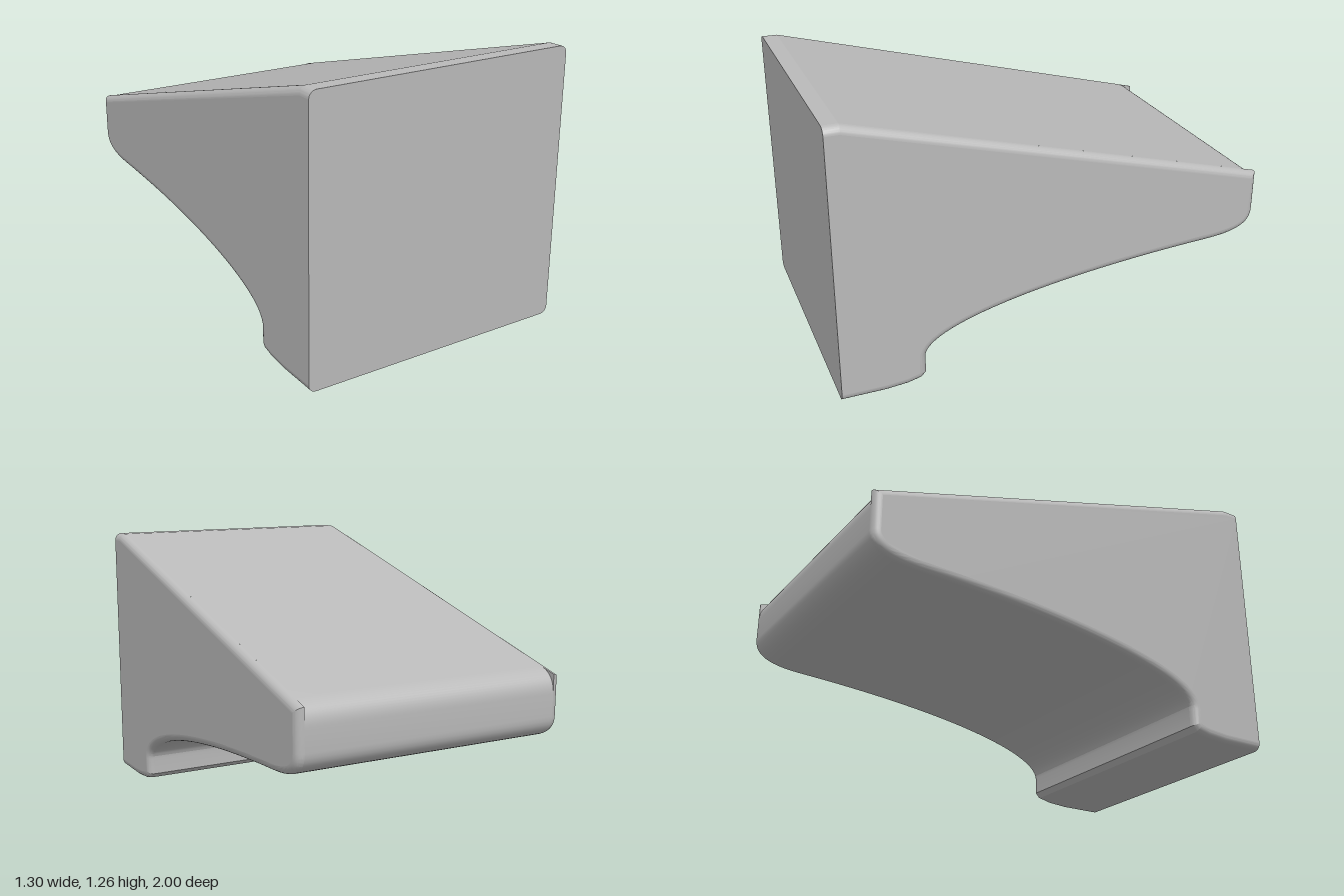
import * as THREE from 'three';
import { toCreasedNormals } from 'three/addons/utils/BufferGeometryUtils.js';

const HALF = 0.648, R = 0.035; // half width and edge rounding
const V = (z, y) => new THREE.Vector2(z, y);

// Side profile in (z, y), from the front foot, under the belly, up the back, over the top
function profile(roundedBack) {
  const belly = new THREE.CubicBezierCurve(V(0.615, 0.13), V(0.615, 0.26), V(0.1, 0.39), V(-0.75, 0.435));
  const heel = new THREE.CubicBezierCurve(V(-0.75, 0.435), V(-0.88, 0.442), V(-1, 0.46), V(-1, 0.56));
  return [
    V(1, 0), V(0.8, 0.001), V(0.7, 0.01), V(0.637, 0.026), V(0.615, 0.05),
    ...belly.getPoints(28),
    ...heel.getPoints(14).slice(1),
    ...(roundedBack ? backRound() : [V(-1, 0.745)]),
    V(0.93, 1.262), V(1, 1.262),
  ];
}

// Rounded upper back corner
function backRound() {
  return new THREE.QuadraticBezierCurve(V(-1, 0.66), V(-1, 0.745), V(-0.918, 0.767)).getPoints(12);
}

// Moves the profile inwards by d; the two end points stay on the flat front
function inset(pts, d) {
  const normal = (a, b) => V(b.y - a.y, a.x - b.x).normalize();
  return pts.map((p, i) => {
    const n1 = normal(pts[Math.max(i - 1, 0)], pts[Math.max(i, 1)]);
    const last = pts.length - 1;
    const n2 = normal(pts[Math.min(i, last - 1)], pts[Math.min(i + 1, last)]);
    if (i === 0 || i === last) return V(p.x, p.y + Math.sign(n1.y) * d);
    return n1.clone().add(n2).multiplyScalar(d / (1 + n1.dot(n2))).add(p);
  });
}

// Skin through closed sections, listed from low x to high x
function loft(sections) {
  const n = sections[0].pts.length, pos = [], idx = [];
  for (const s of sections) for (const p of s.pts) pos.push(s.x, p.y, p.x);
  for (let s = 0; s < sections.length - 1; s++) {
    for (let i = 0; i < n; i++) {
      const a = s * n + i, b = s * n + ((i + 1) % n);
      idx.push(a, b, b + n, a, b + n, a + n);
    }
  }
  const g = new THREE.BufferGeometry();
  g.setAttribute('position', new THREE.Float32BufferAttribute(pos, 3));
  g.setIndex(idx);
  return toCreasedNormals(g, 0.25);
}

// Flat panel at x, facing +x or -x
function panel(pts, x, facing) {
  const shape = new THREE.Shape(pts.map((p) => V(-facing * p.x, p.y)));
  return new THREE.ShapeGeometry(shape).rotateY(facing * Math.PI / 2).translate(x, 0, 0);
}

export function createModel() {
  const group = new THREE.Group();
  const grey = new THREE.MeshStandardMaterial({ color: 0xbababa });
  grey.name = 'grey';
  const add = (name, geometry) => {
    const mesh = new THREE.Mesh(geometry, grey);
    mesh.name = name;
    group.add(mesh);
  };

  // Main body with the rounded back edge
  const seam = HALF - R;
  const body = profile(true);
  add('body', loft([{ x: -seam, pts: body }, { x: seam, pts: body }]));

  // Rounded side edges, side panels and the small raised back corners
  const outer = profile(false);
  const steps = 8;
  for (const side of [1, -1]) {
    const name = side > 0 ? 'left' : 'right';
    const sections = [];
    for (let i = 0; i <= steps; i++) {
      const a = (i / steps) * Math.PI / 2;
      sections.push({ x: side * (seam + R * Math.sin(a)), pts: inset(outer, R * (1 - Math.cos(a))) });
    }
    add(name + 'RoundedEdge', loft(side > 0 ? sections : sections.reverse()));
    add(name + 'SidePanel', panel(inset(outer, R), side * HALF, side));
    add(name + 'BackCornerWall', panel([...backRound(), V(-1, 0.745)], side * seam, -side));
  }
  return group;
}
